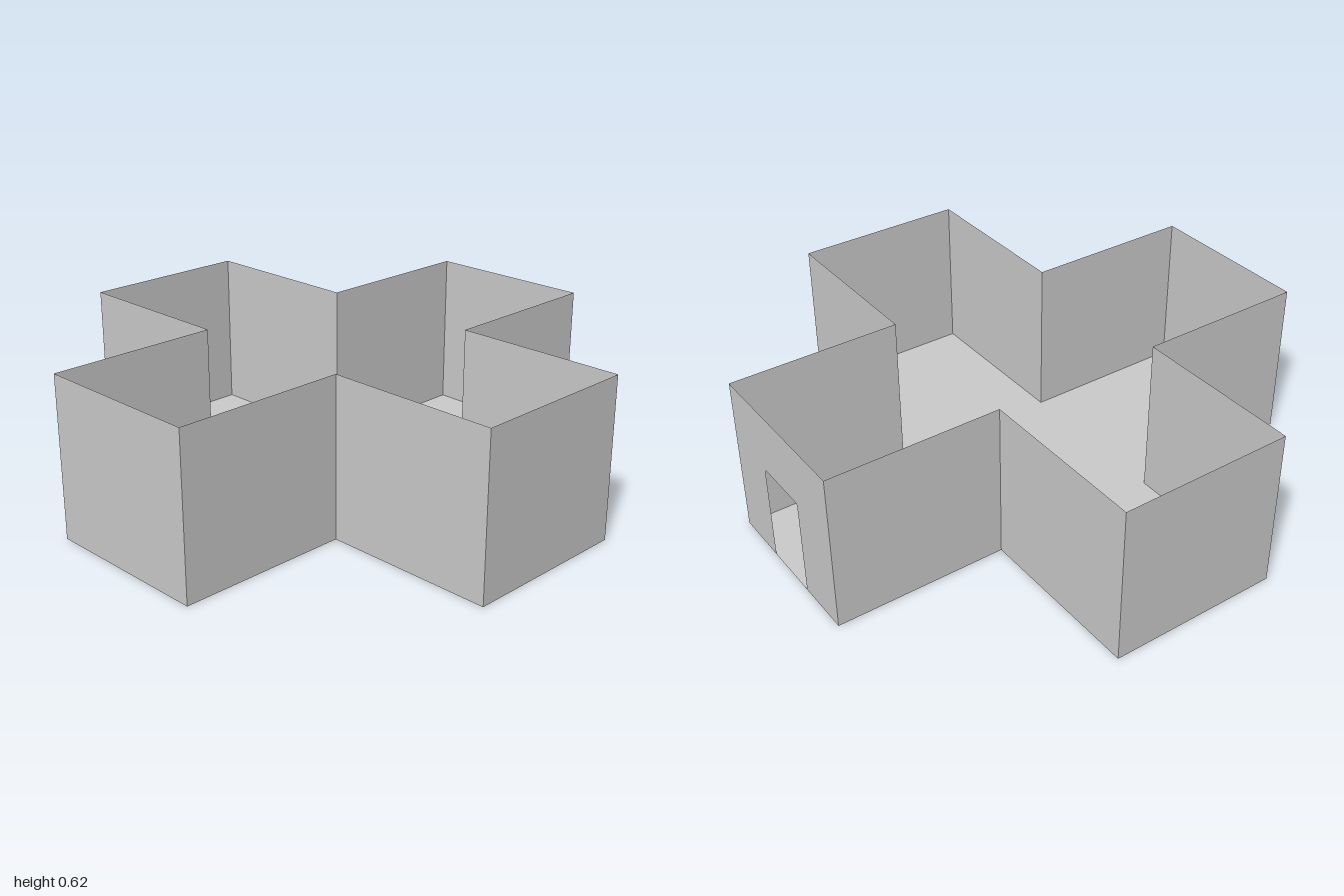
import * as THREE from 'three';

export function createModel() {
  const group = new THREE.Group();
  const material = new THREE.MeshStandardMaterial({
    color: 0xcccccc, side: THREE.DoubleSide, flatShading: true,
  });
  const W = 1 / 3;   // half width of an arm
  const R = 1;       // reach of an arm
  const H = 0.617;   // wall height

  const add = (parent, name, geometry) => {
    const mesh = new THREE.Mesh(geometry, material);
    mesh.name = name;
    parent.add(mesh);
    return mesh;
  };

  // Upright panel, optionally with a doorway cut up from the floor
  const panel = (x0, x1, door) => {
    const s = new THREE.Shape();
    s.moveTo(x0, 0);
    if (door) {
      const { left, right, top, cut } = door;
      s.lineTo(left, 0);
      s.lineTo(left, top - cut);
      s.lineTo(left + cut, top);
      s.lineTo(right - cut, top);
      s.lineTo(right, top - cut);
      s.lineTo(right, 0);
    }
    s.lineTo(x1, 0);
    s.lineTo(x1, H);
    s.lineTo(x0, H);
    s.closePath();
    return new THREE.ShapeGeometry(s);
  };

  // Cross-shaped floor
  const plan = new THREE.Shape([
    [W, W], [W, R], [-W, R], [-W, W], [-R, W], [-R, -W],
    [-W, -W], [-W, -R], [W, -R], [W, -W], [R, -W], [R, W],
  ].map(([x, y]) => new THREE.Vector2(x, y)));
  add(group, 'floor', new THREE.ShapeGeometry(plan).rotateX(-Math.PI / 2));

  // Four arms of three thin walls each; only the left arm has a doorway
  const doorway = { left: -0.117, right: 0.113, top: 0.38, cut: 0.006 };
  ['front', 'left', 'back', 'right'].forEach((side, i) => {
    const arm = new THREE.Group();
    arm.name = `${side}Arm`;
    arm.rotation.y = i * Math.PI / 2;
    add(arm, 'endWall', panel(-W, W, side === 'left' ? doorway : null)).position.z = R;
    add(arm, 'sideWallA', panel(-R, -W).rotateY(Math.PI / 2)).position.x = W;
    add(arm, 'sideWallB', panel(W, R).rotateY(-Math.PI / 2)).position.x = -W;
    group.add(arm);
  });

  return group;
}
